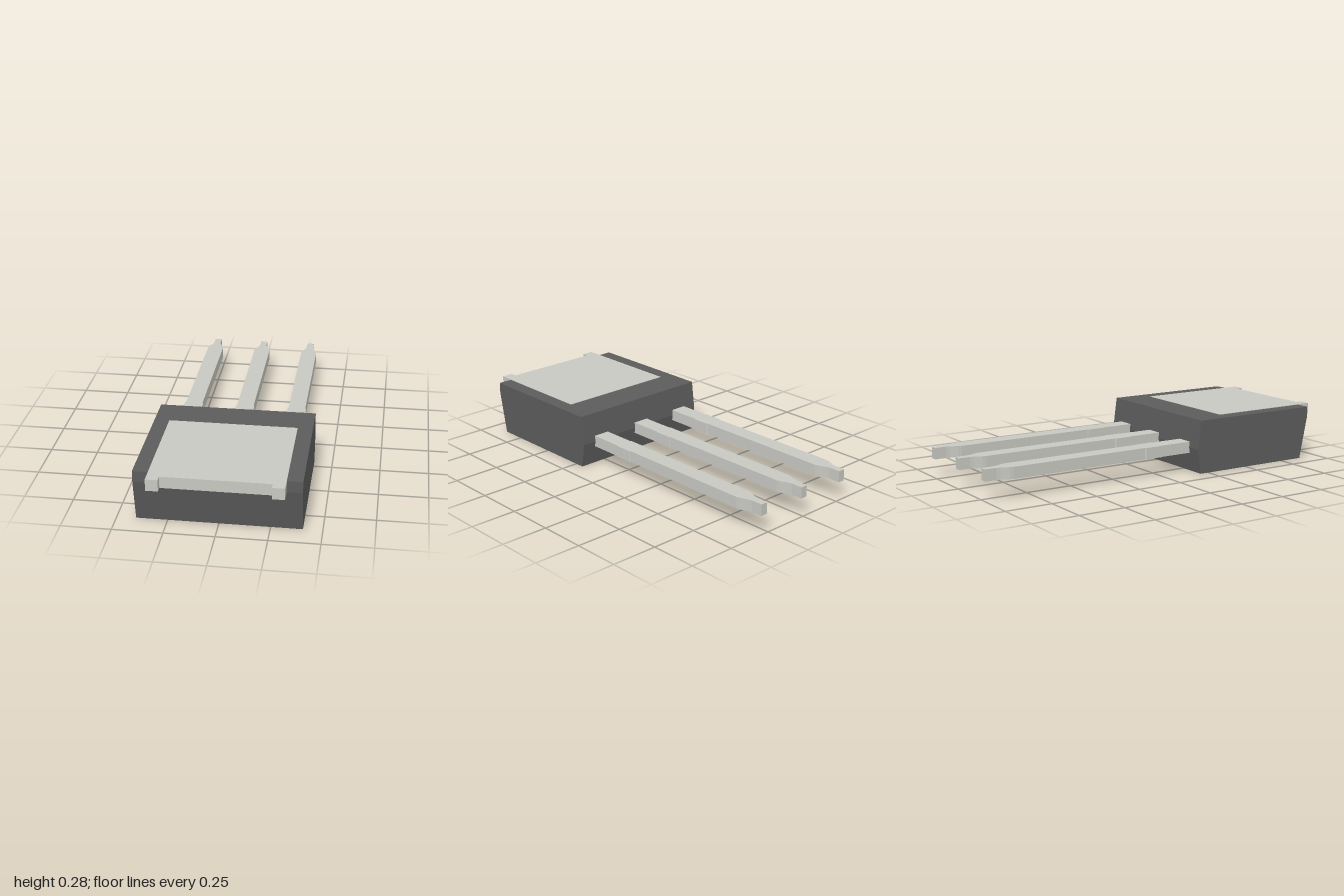
import * as THREE from 'three';

const plastic = new THREE.MeshStandardMaterial({ color: 0x5c5c5c, flatShading: true });
const metal = new THREE.MeshStandardMaterial({ color: 0xc8c8c2, flatShading: true });

function extrude(points, depth) {
  const shape = new THREE.Shape(points.map(([a, b]) => new THREE.Vector2(a, b)));
  return new THREE.ExtrudeGeometry(shape, { depth, bevelEnabled: false });
}

// Flat plate from an [x, z] outline, raised from y0 to y1
function plate(name, outline, y0, y1) {
  const geometry = extrude(outline.map(([x, z]) => [x, -z]), y1 - y0);
  geometry.rotateX(-Math.PI / 2).translate(0, y0, 0);
  const mesh = new THREE.Mesh(geometry, metal);
  mesh.name = name;
  return mesh;
}

// Completes a right-hand [x, z] outline with its mirror image
const mirrored = (half) => [...half, ...half.map(([x, z]) => [-x, z]).reverse()];

export function createModel() {
  const group = new THREE.Group();
  group.name = 'transistorPackage';

  // Moulded body: [z, y] side profile extruded across x
  const width = 0.81;
  const bodyGeometry = extrude([
    [0.2, 0], [0.878, 0], [0.925, 0.225], [0.925, 0.283], [0.2, 0.283], [0.18, 0.13],
  ], width);
  bodyGeometry.translate(0, 0, -width / 2).rotateY(-Math.PI / 2);
  const body = new THREE.Mesh(bodyGeometry, plastic);
  body.name = 'body';
  group.add(body);

  // Heat tab set in the top, with two short prongs at the front
  group.add(plate('heatTab', mirrored([
    [0.328, 0.38], [0.328, 1], [0.267, 1], [0.267, 0.965],
  ]), 0.225, 0.285));

  // Three leads: collar part way along, necked down to a narrow tip
  const leadOutline = mirrored([
    [0.019, -1], [0.019, -0.94], [0.024, -0.92], [0.041, -0.88], [0.045, -0.86],
    [0.045, -0.1], [0.05, -0.095], [0.05, 0], [0.045, 0], [0.045, 0.19],
  ]);
  ['rightLead', 'middleLead', 'leftLead'].forEach((name, i) => {
    const lead = plate(name, leadOutline, 0.1, 0.16);
    lead.position.x = (i - 1) * 0.282;
    group.add(lead);
  });

  return group;
}
